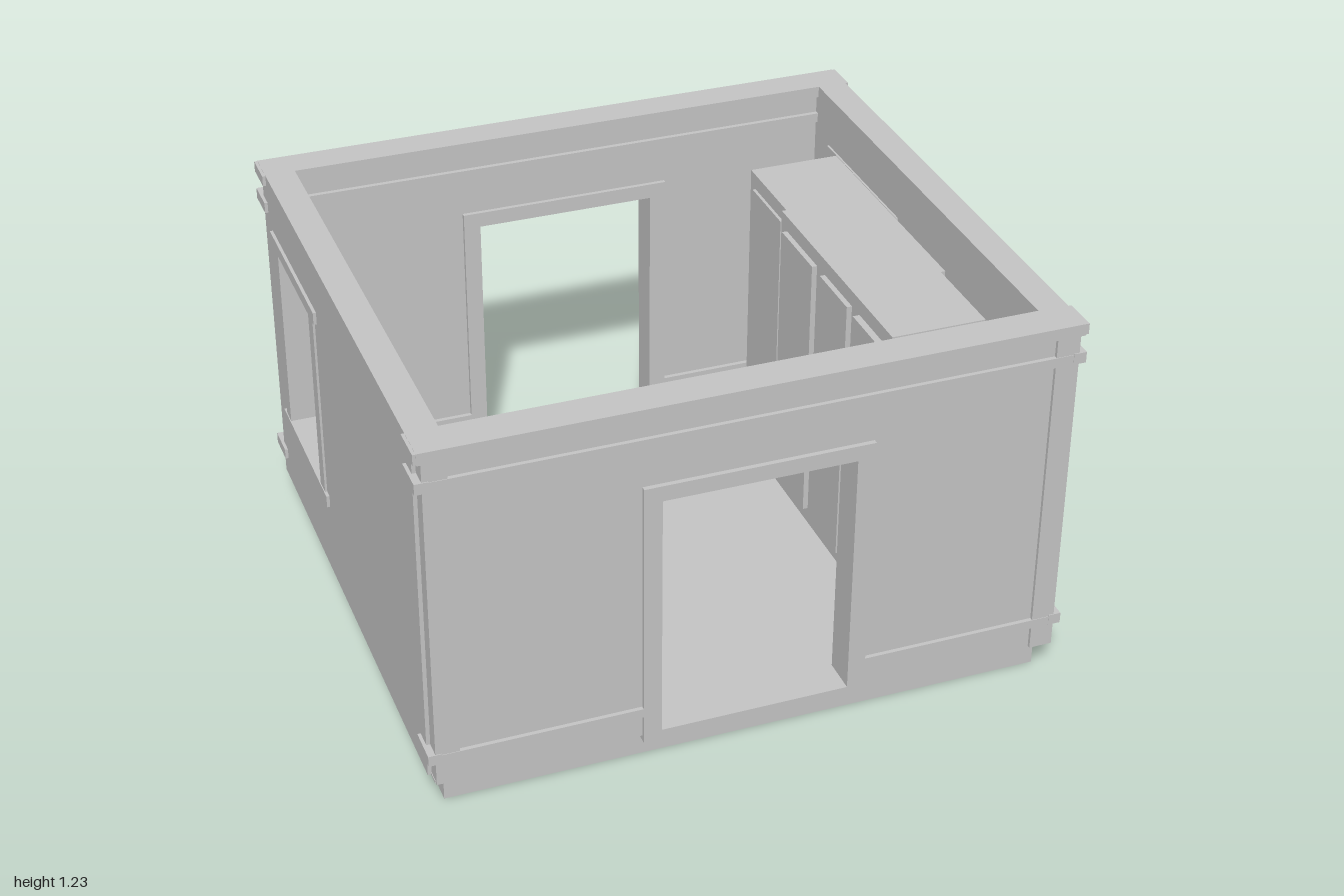
import * as THREE from 'three';

const grey = new THREE.MeshStandardMaterial({ color: 0xc5c5c5 });
grey.name = 'plain grey';

export function createModel() {
  const model = new THREE.Group();
  model.name = 'building';

  // Box from its min and max on each axis
  function box(name, x0, x1, y0, y1, z0, z1, parent = model) {
    const xa = Math.min(x0, x1), xb = Math.max(x0, x1);
    const za = Math.min(z0, z1), zb = Math.max(z0, z1);
    const mesh = new THREE.Mesh(new THREE.BoxGeometry(xb - xa, y1 - y0, zb - za), grey);
    mesh.position.set((xa + xb) / 2, (y0 + y1) / 2, (za + zb) / 2);
    mesh.name = name;
    parent.add(mesh);
  }
  function group(name) {
    const g = new THREE.Group();
    g.name = name;
    model.add(g);
    return g;
  }

  // Base and floor
  box('base', -0.945, 0.945, 0, 0.1, -0.78, 0.92);
  box('floor', -0.98, 0.98, 0.098, 0.106, -0.83, 0.96);

  // Front and back walls: recessed panels, trim on both faces, framed doorway
  function doorWall(name, zOut, zIn) {
    const g = group(name);
    const s = Math.sign(zOut - zIn);
    const a = zOut - s * 0.015, b = zIn + s * 0.015;
    const frameIn = zIn + s * 0.001;
    for (const m of [-1, 1]) {
      box('wallPanel', m * 0.32, m * 0.978, 0.1, 1.2, a, b, g);
      box('cornerPost', m * 0.905, m * 0.978, 0.1, 1.2, zOut - s * 0.004, zIn, g);
      box('doorJamb', m * 0.295, m * 0.35, 0.08, 0.97, zOut, frameIn, g);
      box('lowerRail', m * 0.35, m * 0.982, 0.175, 0.205, zOut - s * 0.002, zIn, g);
    }
    box('wallOverDoor', -0.32, 0.32, 0.95, 1.2, a, b, g);
    box('doorHeader', -0.295, 0.295, 0.92, 0.97, zOut, frameIn, g);
    box('threshold', -0.295, 0.295, 0.08, 0.115, zOut, frameIn, g);
    box('upperRail', -0.982, 0.982, 1.1, 1.132, zOut - s * 0.002, zIn, g);
    box('topRail', -0.99, 0.99, 1.192, 1.23, zOut, zIn, g);
    // Rail ends wrapping round the corners
    for (const m of [-1, 1]) {
      for (const [y0, y1] of [[0.175, 0.21], [1.1, 1.135], [1.195, 1.229]]) {
        box('cornerBracket', m * 0.96, m, y0, y1, zOut - s * 0.001, zOut - s * 0.112, g);
      }
    }
  }
  doorWall('frontWall', 0.975, 0.86);
  doorWall('backWall', -0.84, -0.73);

  // Side walls, each with a framed window centred on zc
  function sideWall(name, m, zc) {
    const g = group(name);
    const i = m * 0.895, o = m * 0.99;
    const w = 0.193;
    box('wallRear', i, o, 0.1, 1.23, -0.78, zc - w, g);
    box('wallFore', i, o, 0.1, 1.23, zc + w, 0.92, g);
    box('wallBelowWindow', i, o, 0.1, 0.4, zc - w, zc + w, g);
    box('wallAboveWindow', i, o, 1.02, 1.23, zc - w, zc + w, g);
    for (const k of [-1, 1]) {
      box('windowJamb', m * 0.89, m * 0.997, 0.4, 1.02, zc + k * w, zc + k * 0.248, g);
    }
    box('windowSill', m * 0.888, m, 0.36, 0.4, zc - 0.275, zc + 0.275, g);
    box('windowHeader', m * 0.888, m, 1.02, 1.06, zc - 0.275, zc + 0.275, g);
  }
  sideWall('rightSideWall', 1, -0.355);
  sideWall('leftSideWall', -1, -0.405);

  // Back sign board, stepped in at its lower corners
  const half = [[0.567, 1.168], [0.567, 0.968], [0.5, 0.968], [0.5, 0.928]];
  const outline = [...half, ...half.map(([x, y]) => [-x, y]).reverse()];
  const sign = new THREE.Mesh(new THREE.ExtrudeGeometry(
    new THREE.Shape(outline.map(([x, y]) => new THREE.Vector2(x, y))),
    { depth: 0.04, bevelEnabled: false }), grey);
  sign.position.z = -0.867;
  sign.name = 'signBoard';
  model.add(sign);

  // Hanging lanterns either side of the back door
  for (const m of [-1, 1]) {
    const g = group('lantern');
    const c = m * 0.772;
    box('lanternCap', c - 0.103, c + 0.103, 0.93, 0.96, -0.975, -0.82, g);
    box('lanternBody', c - 0.07, c + 0.07, 0.68, 0.93, -0.945, -0.82, g);
    for (const k of [-1, 1]) {
      box('lanternPost', c + k * 0.065, c + k * 0.083, 0.665, 0.93, -0.963, -0.943, g);
    }
  }

  // Short pickets on the lower back wall
  for (const x of [0.835, 0.7, 0.56, 0.42, -0.385, -0.515, -0.648, -0.79]) {
    box('picket', x - 0.011, x + 0.011, 0.136, 0.34, -0.846, -0.82);
  }

  // Tall cupboard along the right-hand wall, with plain doors
  const cupboard = group('cupboard');
  box('cupboardRear', 0.545, 0.845, 0.1, 1.11, -0.46, -0.165, cupboard);
  box('cupboardMiddle', 0.53, 0.845, 0.1, 1.11, -0.165, 0.365, cupboard);
  box('cupboardFore', 0.53, 0.83, 0.1, 1.11, 0.365, 0.67, cupboard);
  for (const [x, z0, z1, y0, y1] of [
    [0.535, -0.42, -0.185, 0.16, 1.06],
    [0.513, -0.12, 0.12, 0.16, 1.06],
    [0.513, 0.18, 0.385, 0.16, 1.06],
    [0.508, 0.44, 0.63, 0.16, 0.58],
    [0.508, 0.44, 0.63, 0.62, 1.06],
  ]) box('cupboardDoor', x, 0.56, y0, y1, z0, z1, cupboard);

  return model;
}
